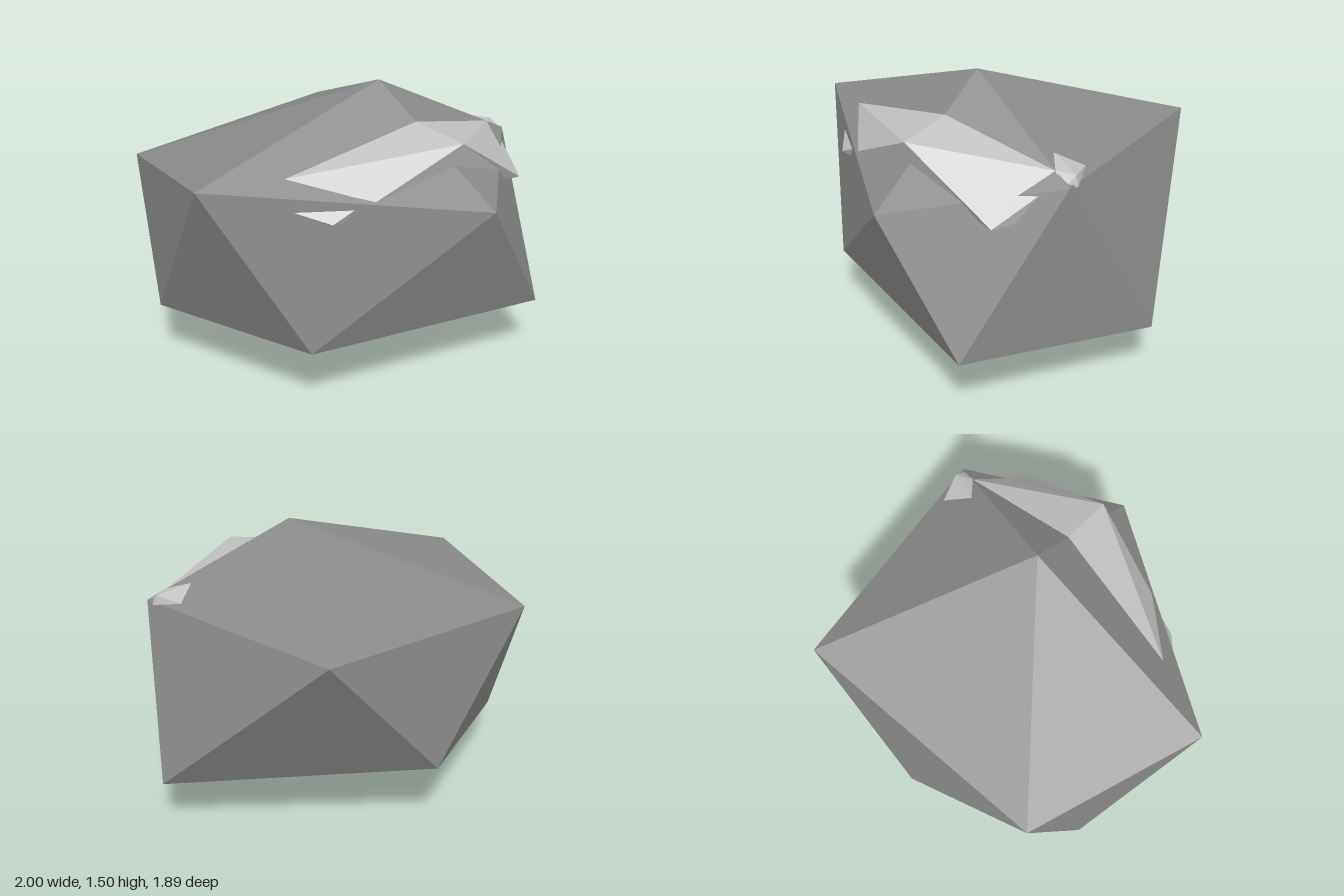
import * as THREE from 'three';

// Faceted surface from a list of triangles, each made of three corners
function facets(name, triangles, material) {
  const g = new THREE.BufferGeometry();
  g.setAttribute('position', new THREE.Float32BufferAttribute(triangles.flat(2), 3));
  g.computeVertexNormals();
  const mesh = new THREE.Mesh(g, material);
  mesh.name = name;
  return mesh;
}

// Fan of triangles around one corner
const fan = (hub, rim) => rim.slice(1).map((p, i) => [hub, rim[i], p]);

export function createModel() {
  const stone = new THREE.MeshStandardMaterial({ color: 0x8a8a8a, flatShading: true });
  stone.name = 'stone grey';
  const pale = new THREE.MeshStandardMaterial({ color: 0xc2c2c2, flatShading: true, side: THREE.DoubleSide });
  pale.name = 'pale grey';

  const model = new THREE.Group();
  model.name = 'boulder';

  // Boulder: an irregular icosahedron from two rings and two tips
  const top = [0.15, 1.5, 0.24], bottom = [-0.22, 0, 0.21];
  const upper = [[-0.95, 1.17, 0.63], [0.45, 0.97, 0.94], [0.95, 1.14, 0.18], [0.3, 1.14, -0.95], [-1, 1.07, -0.35]];
  const lower = [[-0.46, 0.33, 0.81], [0.88, 0.32, 0.72], [1, 0.295, -0.3], [-0.35, 0.4, -0.75], [-1, 0.325, -0.01]];
  const rock = [];
  for (let i = 0; i < 5; i++) {
    const j = (i + 1) % 5;
    rock.push(
      [top, upper[i], upper[j]],
      [upper[i], lower[i], upper[j]],
      [lower[i], lower[j], upper[j]],
      [bottom, lower[j], lower[i]]
    );
  }
  model.add(facets('rock', rock, stone));

  // Pale ledge breaking out of the upper front
  const peak = [0.37, 1.27, 0.74], corner = [0.85, 0.97, 0.53];
  const leftTip = [-0.52, 1.18, 0.64], ridge = [0.25, 1.325, 0.47], rightTip = [0.84, 1.19, 0.19];
  const notch = [0.82, 1.096, 0.378];
  const underLeft = [-0.13, 1.06, 0.8], underMid = [0.35, 1.15, 0.707], underRight = [0.68, 1.048, 0.59];
  model.add(facets('ledge', [
    ...fan(peak, [notch, rightTip, ridge, leftTip, underLeft, underMid, underRight, corner, notch]),
    ...fan(corner, [underRight, [0.75, 0.97, 0.54], [0.79, 0.95, 0.497], [0.85, 0.975, 0.404], [0.877, 1.1, 0.3], notch]),
  ], pale));

  // Small shard past the right end of the ledge
  model.add(facets('rightShard',
    fan([0.91, 1.18, 0.12], [rightTip, [0.72, 1.227, 0.13], [0.8, 1.165, 0], [0.93, 1.13, 0.12], [0.93, 1.13, 0.21], rightTip]), pale));

  // Small chip on the front face
  const chipLeft = [-0.53, 1.05, 0.725], chipRight = [-0.22, 1.04, 0.79];
  model.add(facets('frontChip',
    fan([-0.35, 0.985, 0.81], [chipRight, chipLeft, [-0.36, 0.975, 0.767], [-0.28, 0.975, 0.784], chipRight]), pale));

  return model;
}
